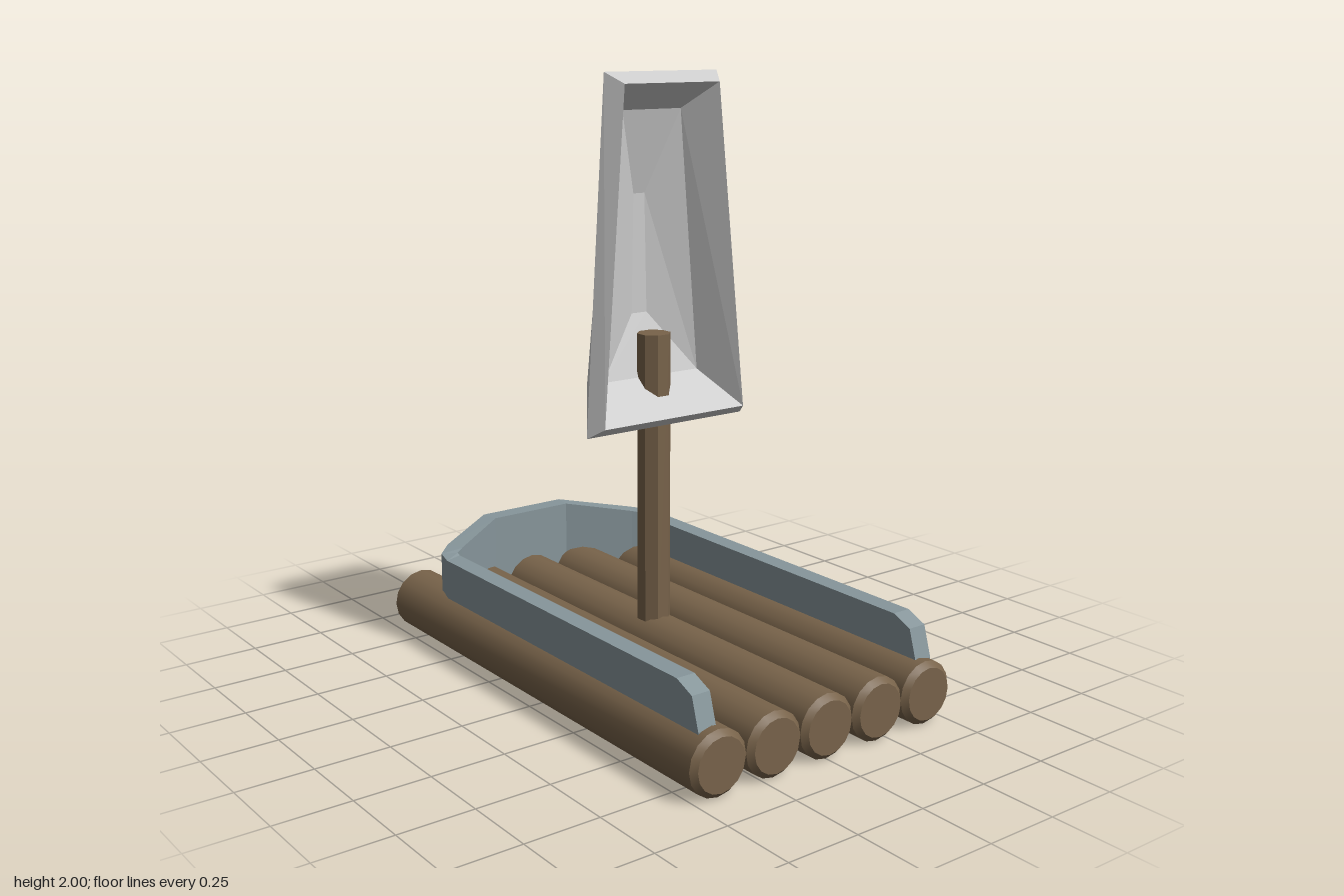
import * as THREE from 'three';
import { toCreasedNormals } from 'three/addons/utils/BufferGeometryUtils.js';

const wood = new THREE.MeshStandardMaterial({ color: 0x78634a });
const mastWood = new THREE.MeshStandardMaterial({ color: 0x78634a, flatShading: true });
const hull = new THREE.MeshStandardMaterial({ color: 0x87969b, flatShading: true });
const cloth = new THREE.MeshStandardMaterial({ color: 0xcccccc, flatShading: true });

function mesh(name, geometry, material) {
  const m = new THREE.Mesh(geometry, material);
  m.name = name;
  return m;
}

// Joins four-cornered sections into a closed, faceted solid
function loft(sections) {
  const pos = [];
  const quad = (a, b, c, d) => pos.push(...a, ...b, ...c, ...a, ...c, ...d);
  for (let s = 0; s < sections.length - 1; s++) {
    const a = sections[s], b = sections[s + 1];
    for (let i = 0; i < 4; i++) {
      const j = (i + 1) % 4;
      quad(a[i], a[j], b[j], b[i]);
    }
  }
  const first = sections[0], last = sections[sections.length - 1];
  quad(first[3], first[2], first[1], first[0]);
  quad(last[0], last[1], last[2], last[3]);
  const g = new THREE.BufferGeometry();
  g.setAttribute('position', new THREE.Float32BufferAttribute(pos, 3));
  g.computeVertexNormals();
  return g;
}

// Log lying along z with chamfered ends
function logGeometry(r, half, bevel) {
  const profile = [
    [0, -half], [r - bevel, -half], [r, -half + bevel],
    [r, half - bevel], [r - bevel, half], [0, half],
  ].map(([x, y]) => new THREE.Vector2(x, y));
  const g = new THREE.LatheGeometry(profile, 16);
  g.rotateX(Math.PI / 2);
  return toCreasedNormals(g, 0.5);
}

// U-shaped rail: outer x, outer z, inner x, inner z, top y
function railGeometry() {
  const bottom = 0.13;
  const half = [
    [0.465, 0.825, 0.40, 0.825, 0.20],
    [0.465, 0.795, 0.40, 0.795, 0.30],
    [0.465, 0.725, 0.40, 0.725, 0.33],
    [0.465, -0.57, 0.40, -0.595, 0.33],
    [0.45, -0.635, 0.40, -0.61, 0.335],
    [0.39, -0.695, 0.37, -0.63, 0.342],
    [0.165, -0.82, 0.155, -0.755, 0.38],
  ];
  const mirrored = half.map(([ox, oz, ix, iz, y]) => [-ox, oz, -ix, iz, y]).reverse();
  return loft([...half, ...mirrored].map(([ox, oz, ix, iz, y]) => [
    [ox, y, oz], [ox, bottom, oz], [ix, bottom, iz], [ix, y, iz],
  ]));
}

// Billowing sail, from the back over the rim into the hollow front:
// top half-width, y, z, then bottom half-width, y, z
function sailGeometry() {
  const rings = [
    [0.03, 1.61, -0.135, 0.045, 1.21, -0.135],
    [0.13, 1.905, -0.06, 0.21, 1.0, -0.08],
    [0.22, 2.0, 0.04, 0.312, 0.87, 0.065],
    [0.185, 1.965, 0.10, 0.28, 0.905, 0.12],
    [0.115, 1.88, -0.01, 0.19, 1.02, -0.015],
    [0.022, 1.61, -0.08, 0.03, 1.22, -0.08],
  ];
  return loft(rings.map(([xt, yt, zt, xb, yb, zb]) => [
    [xt, yt, zt], [-xt, yt, zt], [-xb, yb, zb], [xb, yb, zb],
  ]));
}

export function createModel() {
  const model = new THREE.Group();
  model.name = 'raft';

  // Deck of five logs
  const deck = new THREE.Group();
  deck.name = 'deck';
  const logGeo = logGeometry(0.104, 0.87, 0.018);
  for (let i = -2; i <= 2; i++) {
    const log = mesh('log', logGeo, wood);
    log.position.set(i * 0.2075, 0.104, 0);
    deck.add(log);
  }
  model.add(deck);

  // Rail around the sides and stern
  model.add(mesh('rail', railGeometry(), hull));

  // Octagonal mast with a flat face forward
  const mastGeo = new THREE.CylinderGeometry(0.056, 0.056, 1.025, 8);
  mastGeo.rotateY(Math.PI / 8);
  const mast = mesh('mast', mastGeo, mastWood);
  mast.position.y = 0.14 + 1.025 / 2;
  model.add(mast);

  model.add(mesh('sail', sailGeometry(), cloth));
  return model;
}
